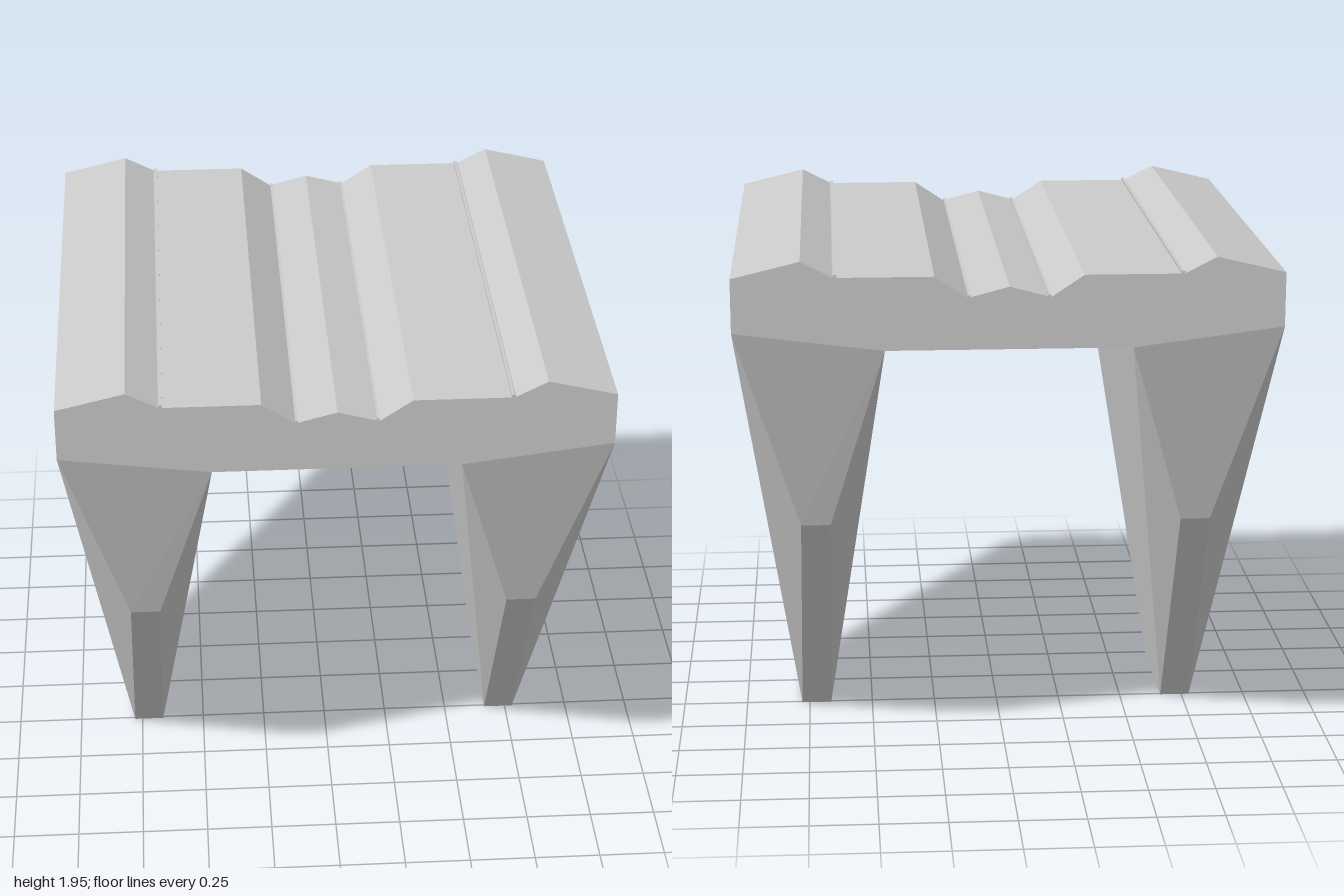
import * as THREE from 'three';
import { ConvexGeometry } from 'three/addons/geometries/ConvexGeometry.js';

const material = new THREE.MeshStandardMaterial({ color: 0xcccccc, flatShading: true });

// Half of the slab's cross-section, from the top centre outwards and back under.
const halfProfile = [
  [0.14, 1.813], [0.14, 1.82], [0.15, 1.82], [0.15, 1.81], // inner ridge in the valley
  [0.27, 1.89],
  [0.62, 1.89], [0.62, 1.9], [0.632, 1.9], [0.635, 1.892], // outer ridge
  [0.75, 1.95], [1, 1.89], [1, 1.69], [0.58, 1.7], [0.45, 1.62],
];

function makeSlab() {
  const mirrored = halfProfile.map(([x, y]) => [-x, y]).reverse();
  const outline = [[0, 1.85], ...halfProfile, ...mirrored];
  const shape = new THREE.Shape(outline.map(([x, y]) => new THREE.Vector2(x, y)));
  const geometry = new THREE.ExtrudeGeometry(shape, { depth: 2, bevelEnabled: false });
  geometry.translate(0, 0, -1);
  const slab = new THREE.Mesh(geometry, material);
  slab.name = 'topSlab';
  return slab;
}

// Corners of the front half of one tapering, chamfered leg.
const legCorners = [
  [0.45, 1.62, 1], [0.58, 1.7, 1], [1, 1.69, 1],   // joint with the slab
  [0.935, 1.17, 0.7],                              // bend of the outer face
  [0.655, 0.92, 0.84], [0.765, 0.92, 0.84],        // knee of the narrow edge
  [0.665, 0, 0.26], [0.78, 0, 0.26],               // foot
];

function makeLeg(side, name) {
  const points = legCorners.flatMap(([x, y, z]) =>
    [1, -1].map((end) => new THREE.Vector3(side * x, y, end * z)));
  const leg = new THREE.Mesh(new ConvexGeometry(points), material);
  leg.name = name;
  return leg;
}

export function createModel() {
  const model = new THREE.Group();
  model.name = 'slabOnLegs';
  model.add(makeSlab(), makeLeg(1, 'leftLeg'), makeLeg(-1, 'rightLeg'));
  return model;
}
